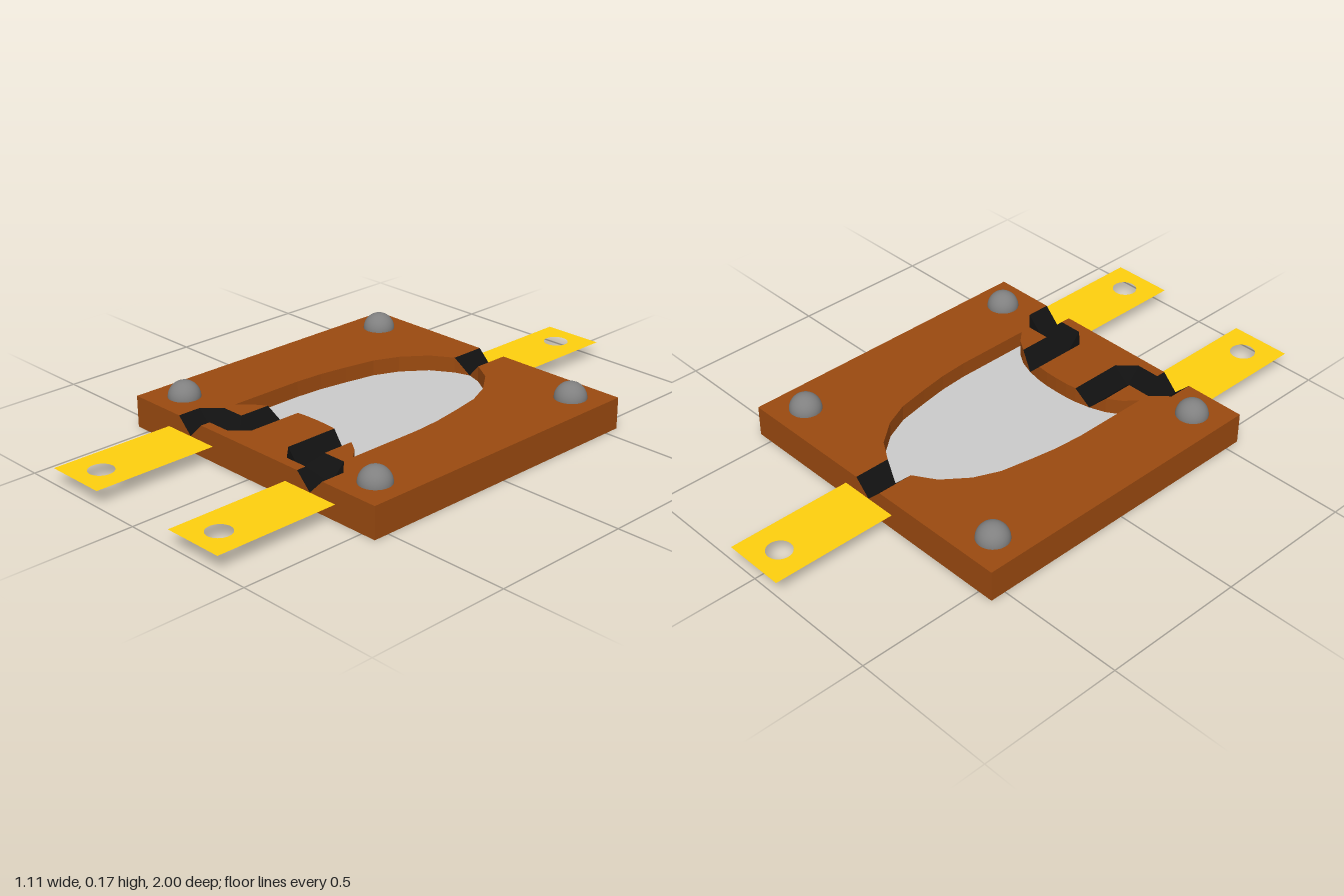
import * as THREE from 'three';

const TOP = 0.11, MID = 0.055, HALF = 0.555;
const mat = (color) => new THREE.MeshStandardMaterial({ color, side: THREE.DoubleSide });
const brown = mat(0x9b4a10), black = mat(0x111111), gold = mat(0xffd00e), grey = mat(0xcccccc), steel = mat(0x808080);

const mirror = (pts) => pts.map(([x, z, y]) => [-x, z, y]);
const add = (group, name, geometry, material) => {
  const mesh = new THREE.Mesh(geometry, material);
  mesh.name = name;
  group.add(mesh);
  return mesh;
};

// Horizontal sheet from [x, z] points, with an optional round hole
function sheet(pts, y, hole) {
  const shape = new THREE.Shape(pts.map(([x, z]) => new THREE.Vector2(x, -z)));
  if (hole) shape.holes.push(new THREE.Path().absarc(hole[0], -hole[1], hole[2], 0, Math.PI * 2, true));
  return new THREE.ShapeGeometry(shape, 24).rotateX(-Math.PI / 2).translate(0, y, 0);
}

// Flat-shaded strip between two rows of [x, y, z] points
function ribbon(a, b) {
  const pos = [];
  const tri = (p, q, r) => {
    const same = (u, v) => u.every((c, k) => Math.abs(c - v[k]) < 1e-6);
    if (!same(p, q) && !same(q, r) && !same(p, r)) pos.push(...p, ...q, ...r);
  };
  for (let i = 0; i + 1 < a.length; i++) {
    tri(b[i], b[i + 1], a[i + 1]);
    tri(b[i], a[i + 1], a[i]);
  }
  const g = new THREE.BufferGeometry();
  g.setAttribute('position', new THREE.Float32BufferAttribute(pos, 3));
  g.computeVertexNormals();
  return g;
}

// Upright wall along [x, z, topHeight] points
const wall = (pts, base) => ribbon(
  pts.map(([x, z, y = TOP]) => [x, y, z]), pts.map(([x, z]) => [x, base, z]));

// Sloping groove side from a top edge down to the groove bottom line
const slope = (edge, bottom) => ribbon(
  edge.map(([x, z]) => [x, TOP, z]), bottom.map(([x, z]) => [x, MID, z]));

export function createModel() {
  const model = new THREE.Group();

  // Right half outlines; a third value marks a groove bottom
  const pocketSide = [[0.055, -0.427], [0.13, -0.38], [0.195, -0.297], [0.233, -0.21], [0.254, -0.1],
    [0.27, 0], [0.277, 0.1], [0.277, 0.375], [0.24, 0.333], [0.195, 0.303]];
  const pocketFront = [[0.085, 0.272], [0.045, 0.268], [0, 0.267]];
  const pocketHalf = [[0, -0.445, MID], ...pocketSide, [0.14, 0.283, MID], ...pocketFront];
  const rimHalf = [[0, -HALF, MID], [0.055, -HALF], [HALF, -HALF], [HALF, HALF], [0.335, HALF],
    [0.28, HALF, MID], [0.225, HALF], [0, HALF]];

  // Stepped front groove: outer edge, inner edge and bottom line
  const outer = [[0.195, 0.303], [0.195, 0.415], [0.28, 0.415], [0.335, 0.47], [0.335, HALF]];
  const inner = [[0.085, 0.272], [0.085, 0.465], [0.14, 0.52], [0.225, 0.52], [0.225, HALF]];
  const line = [[0.14, 0.283], [0.14, 0.47], [0.28, 0.47], [0.28, HALF]];

  const board = new THREE.Group();
  board.name = 'board';
  const grooves = new THREE.Group();
  grooves.name = 'grooves';
  model.add(board, grooves);

  for (const [side, flip] of [['left', (p) => p], ['right', mirror]]) {
    // Board top and walls
    const top = [...pocketSide, ...outer.slice(1), [HALF, HALF], [HALF, -HALF], [0.055, -HALF]];
    add(board, side + 'BoardTop', sheet(flip(top), TOP), brown);
    add(board, side + 'BoardWall', wall(flip(rimHalf), 0), brown);
    add(board, side + 'PocketWall', wall(flip(pocketHalf), MID), brown);

    // Groove sides
    add(grooves, side + 'GrooveOuterSide', slope(flip(outer), flip([0, 1, 2, 2, 3].map((i) => line[i]))), black);
    add(grooves, side + 'GrooveInnerSide', slope(flip(inner), flip([0, 1, 1, 2, 3].map((i) => line[i]))), black);
    add(grooves, side + 'BackGrooveSide',
      slope(flip([[0.055, -HALF], [0.055, -0.427]]), [[0, -HALF], [0, -0.445]]), black);
  }

  // Raised piece between the front grooves, and the underside
  const island = [...inner].reverse().concat(pocketFront.slice(1));
  add(board, 'frontBoardTop', sheet([...island, ...mirror(island.slice(0, -1)).reverse()], TOP), brown);
  add(board, 'underside', sheet([[-HALF, -HALF], [HALF, -HALF], [HALF, HALF], [-HALF, HALF]], 0), brown);

  // Pocket floor
  const floor = [...pocketHalf, ...mirror(pocketHalf.slice(1, -1)).reverse()];
  add(model, 'pocketFloor', sheet(floor, MID), grey);

  // Thin terminal tabs with round holes
  for (const [name, x, dir] of [['leftTab', 0.28, 1], ['rightTab', -0.28, 1], ['backTab', 0, -1]]) {
    const pts = [[x - 0.11, dir * HALF], [x + 0.11, dir * HALF], [x + 0.11, dir], [x - 0.11, dir]];
    add(model, name, sheet(pts, MID, [x, dir * 0.903, 0.043]), gold);
  }

  // Domed corner studs
  const dome = new THREE.SphereGeometry(0.055, 32, 12, 0, Math.PI * 2, 0, Math.PI / 2);
  for (const x of [-0.445, 0.445]) {
    for (const z of [-0.445, 0.445]) add(model, 'cornerStud', dome, steel).position.set(x, TOP, z);
  }
  return model;
}
